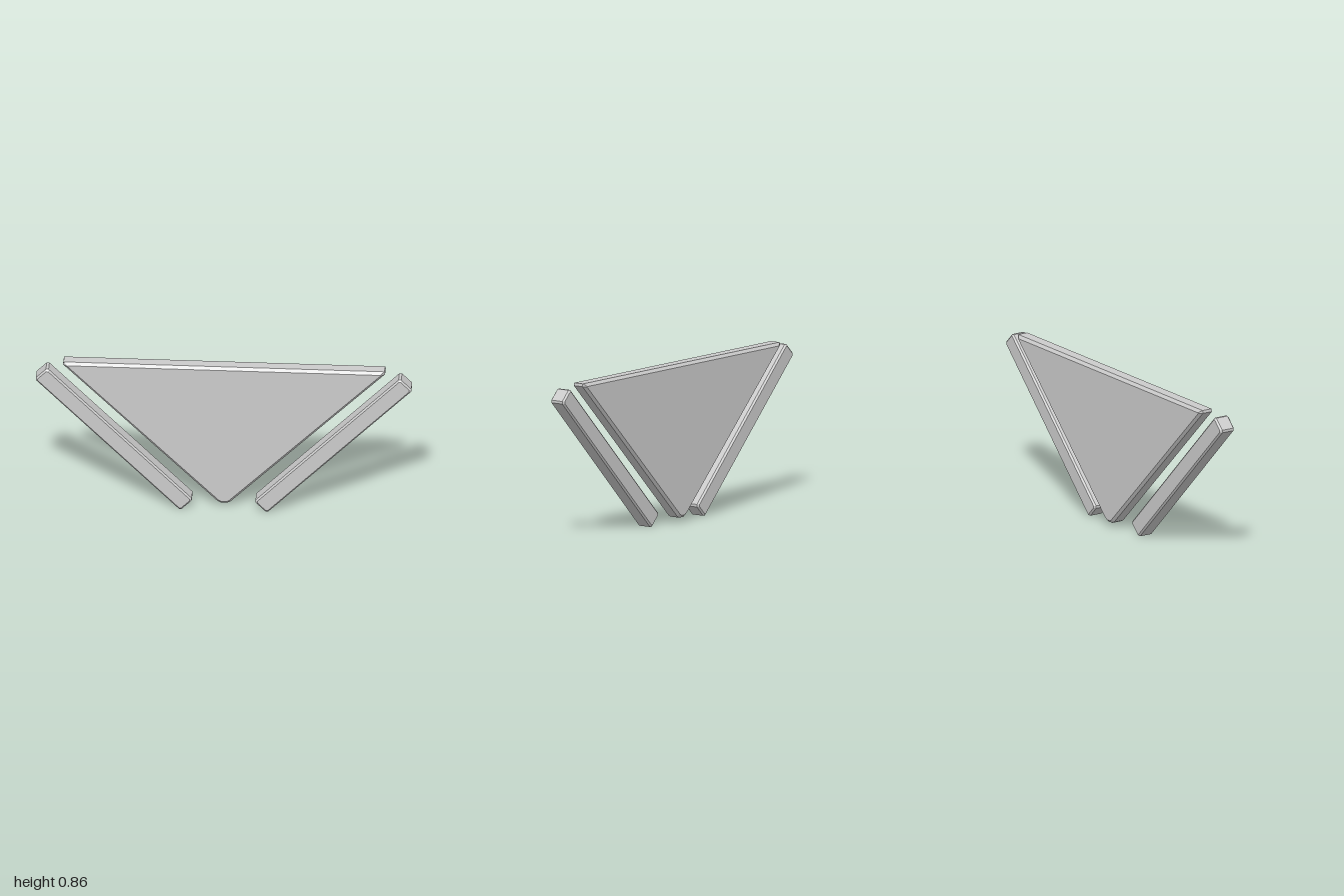
import * as THREE from 'three';

const material = new THREE.MeshStandardMaterial({ color: 0xcccccc, flatShading: true });

// Chamfered slab: counter-clockwise outline and matching inset outline, lofted over
// z levels [back, back chamfer, front chamfer, front] and capped at both ends.
function slab(name, outer, inner, z) {
  const rings = [inner, outer, outer, inner].map((ring, i) => ring.map(([x, y]) => [x, y, z[i]]));
  const n = outer.length;
  const position = [];
  const tri = (a, b, c) => position.push(...a, ...b, ...c);
  for (let r = 0; r < 3; r++) {
    for (let i = 0; i < n; i++) {
      const j = (i + 1) % n;
      tri(rings[r][i], rings[r][j], rings[r + 1][j]);
      tri(rings[r][i], rings[r + 1][j], rings[r + 1][i]);
    }
  }
  for (let i = 1; i < n - 1; i++) {
    tri(rings[3][0], rings[3][i], rings[3][i + 1]);
    tri(rings[0][0], rings[0][i + 1], rings[0][i]);
  }
  const geometry = new THREE.BufferGeometry();
  geometry.setAttribute('position', new THREE.Float32BufferAttribute(position, 3));
  geometry.computeVertexNormals();
  const mesh = new THREE.Mesh(geometry, material);
  mesh.name = name;
  return mesh;
}

// Rectangle with clipped corners
function clippedRect(l, w, c) {
  return [[l, -w + c], [l, w - c], [l - c, w], [-l + c, w],
    [-l, w - c], [-l, -w + c], [-l + c, -w], [l - c, -w]];
}

// Completes the right half of an outline (bottom to top) with its mirror image
function mirrored(half) {
  return [...half, ...half.map(([x, y]) => [-x, y]).reverse()];
}

export function createModel() {
  const group = new THREE.Group();
  group.name = 'triangleEmblem';

  // Central triangular plate with blunted corners
  const outer = mirrored([[0.018, 0.024], [0.036, 0.034], [0.858, 0.84], [0.855, 0.855]]);
  const inner = mirrored([[0.014, 0.037], [0.028, 0.045], [0.834, 0.835], [0.832, 0.839]]);
  group.add(slab('trianglePlate', outer, inner, [-0.06, -0.046, 0.012, 0.025]));

  // Slanted bars along the two lower edges
  for (const side of [1, -1]) {
    const bar = slab(side > 0 ? 'leftBar' : 'rightBar',
      clippedRect(0.549, 0.048, 0.01), clippedRect(0.54, 0.039, 0.007),
      [-0.029, -0.02, 0.052, 0.061]);
    bar.position.set(side * 0.585, 0.415, 0);
    bar.rotation.z = side * Math.PI / 4;
    group.add(bar);
  }
  return group;
}
